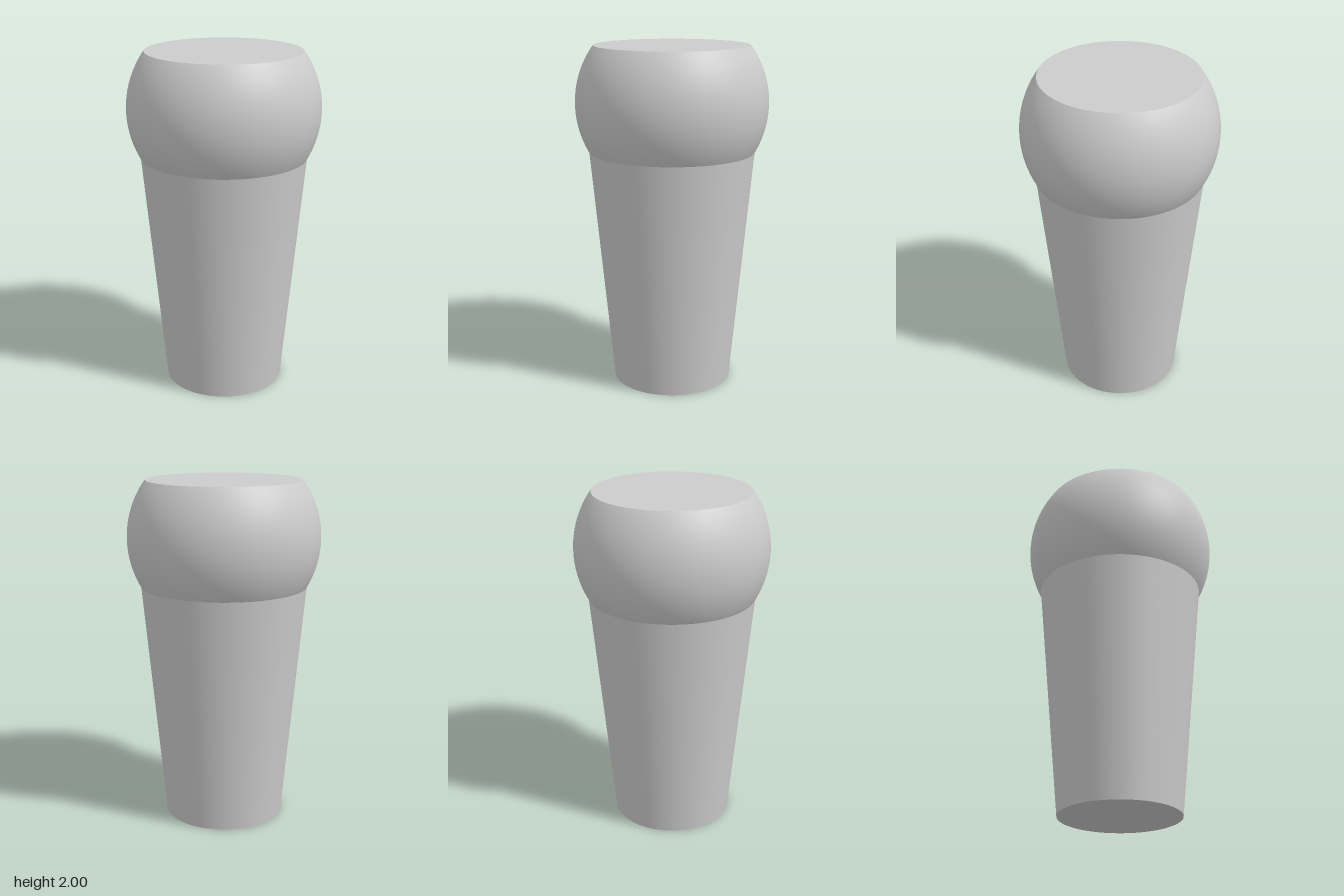
import * as THREE from 'three';

const SEGMENTS = 96;
const BULB_RADIUS = 0.557;
const BULB_Y = 1.67;
const TOP_Y = 2;
const NECK_Y = 1.39;

export function createModel() {
  const group = new THREE.Group();
  const material = new THREE.MeshStandardMaterial({ color: 0xcccccc });

  function add(name, geometry, y) {
    const mesh = new THREE.Mesh(geometry, material);
    mesh.name = name;
    mesh.position.y = y;
    group.add(mesh);
    return mesh;
  }

  // Radius of the spherical bulb at a given height
  const bulbRadiusAt = (y) => Math.sqrt(BULB_RADIUS ** 2 - (y - BULB_Y) ** 2);

  // Tapered stem, open at the top where it meets the bulb
  add('stem', new THREE.CylinderGeometry(bulbRadiusAt(NECK_Y), 0.35, NECK_Y, SEGMENTS, 1, true), NECK_Y / 2);

  // Flat underside of the stem
  add('base', new THREE.CircleGeometry(0.35, SEGMENTS).rotateX(Math.PI / 2), 0);

  // Bulb: a sphere cut flat at the top and trimmed at the neck
  const start = Math.acos((TOP_Y - BULB_Y) / BULB_RADIUS);
  const end = Math.acos((NECK_Y - BULB_Y) / BULB_RADIUS);
  add('bulb', new THREE.SphereGeometry(BULB_RADIUS, SEGMENTS, 32, 0, Math.PI * 2, start, end - start), BULB_Y);

  // Flat disc closing the top
  add('topFace', new THREE.CircleGeometry(bulbRadiusAt(TOP_Y), SEGMENTS).rotateX(-Math.PI / 2), TOP_Y);

  return group;
}
